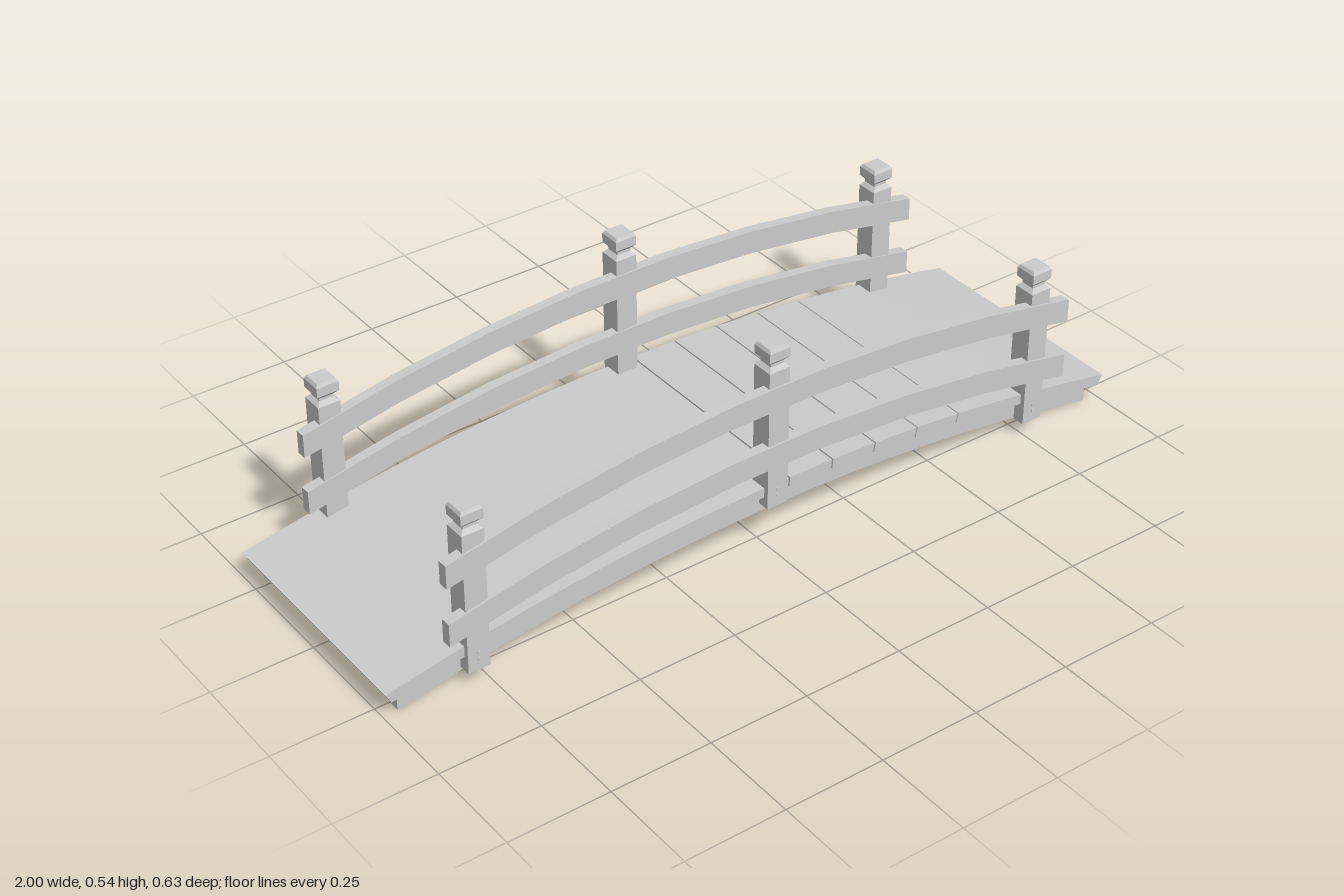
import * as THREE from 'three';

const material = new THREE.MeshStandardMaterial({ color: 0xcccccc, flatShading: true });

function add(parent, name, geometry) {
  const mesh = new THREE.Mesh(geometry, material);
  mesh.name = name;
  parent.add(mesh);
  return mesh;
}

// Arched band from x0 to x1: top edge y = crown - drop * x^2, with the lower edge pulled in by lean
function archBand({ x0, x1, segments, crown, drop, thickness, z0, z1, lean = 0 }) {
  const upper = [], lower = [];
  for (let i = 0; i <= segments; i++) {
    const x = x0 + (x1 - x0) * i / segments;
    const y = crown - drop * x * x;
    upper.push(new THREE.Vector2(x, y));
    lower.push(new THREE.Vector2(x * (1 - lean), y - thickness));
  }
  const shape = new THREE.Shape([...lower, ...upper.reverse()]);
  const geometry = new THREE.ExtrudeGeometry(shape, { depth: z1 - z0, bevelEnabled: false });
  return geometry.translate(0, 0, z0);
}

// Square post with a necked, chamfered cap: pairs of half-width and height
function postGeometry() {
  const profile = [
    [0, 0], [0.0275, 0], [0.0275, 0.358], [0.018, 0.368], [0.018, 0.375],
    [0.0275, 0.385], [0.0275, 0.408], [0.023, 0.416], [0, 0.416],
  ].map(([half, y]) => new THREE.Vector2(half * Math.SQRT2, y));
  return new THREE.LatheGeometry(profile, 4, Math.PI / 4);
}

export function createModel() {
  const bridge = new THREE.Group();
  bridge.name = 'archedFootbridge';

  // Deck: long end sections and narrow planks separated by thin gaps
  const deck = new THREE.Group();
  deck.name = 'deck';
  bridge.add(deck);
  const joints = [-1, 0.05, 0.173, 0.296, 0.42, 0.544, 1];
  const gap = 0.002;
  for (let i = 0; i < joints.length - 1; i++) {
    const x0 = joints[i] + (i > 0 ? gap : 0);
    const x1 = joints[i + 1] - (i < joints.length - 2 ? gap : 0);
    add(deck, 'deckPlank', archBand({
      x0, x1, segments: Math.max(1, Math.round((x1 - x0) / 0.123)),
      crown: 0.177, drop: 0.104, thickness: 0.025, z0: -0.3, z1: 0.3, lean: 0.014,
    }));
  }

  // Curved beams beneath the deck
  for (const z of [-0.265, 0.265]) {
    add(bridge, 'supportBeam', archBand({
      x0: -0.963, x1: 0.963, segments: 16,
      crown: 0.153, drop: 0.106, thickness: 0.051, z0: z - 0.016, z1: z + 0.016,
    }));
  }

  // Handrails: outside the front posts, inside the back posts
  for (const [side, z0, z1] of [['front', 0.292, 0.318], ['back', -0.28, -0.254]]) {
    for (const [level, crown] of [['Upper', 0.447], ['Lower', 0.296]]) {
      add(bridge, side + level + 'Rail', archBand({
        x0: -0.85, x1: 0.85, segments: 7,
        crown, drop: 0.135, thickness: 0.059, z0, z1,
      }));
    }
  }

  // Posts, each with two bolt heads on its outer face
  const post = postGeometry();
  const bolt = new THREE.CylinderGeometry(0.004, 0.004, 0.004, 8).rotateX(Math.PI / 2);
  for (const side of [-1, 1]) {
    for (const [x, y] of [[-0.778, 0.043], [0.008, 0.126], [0.765, 0.043]]) {
      const group = new THREE.Group();
      group.name = 'post';
      group.position.set(x, y, side * 0.285);
      add(group, 'postBody', post);
      for (const height of [0.03, 0.046]) {
        add(group, 'bolt', bolt).position.set(0, height, side * 0.0285);
      }
      bridge.add(group);
    }
  }
  return bridge;
}
